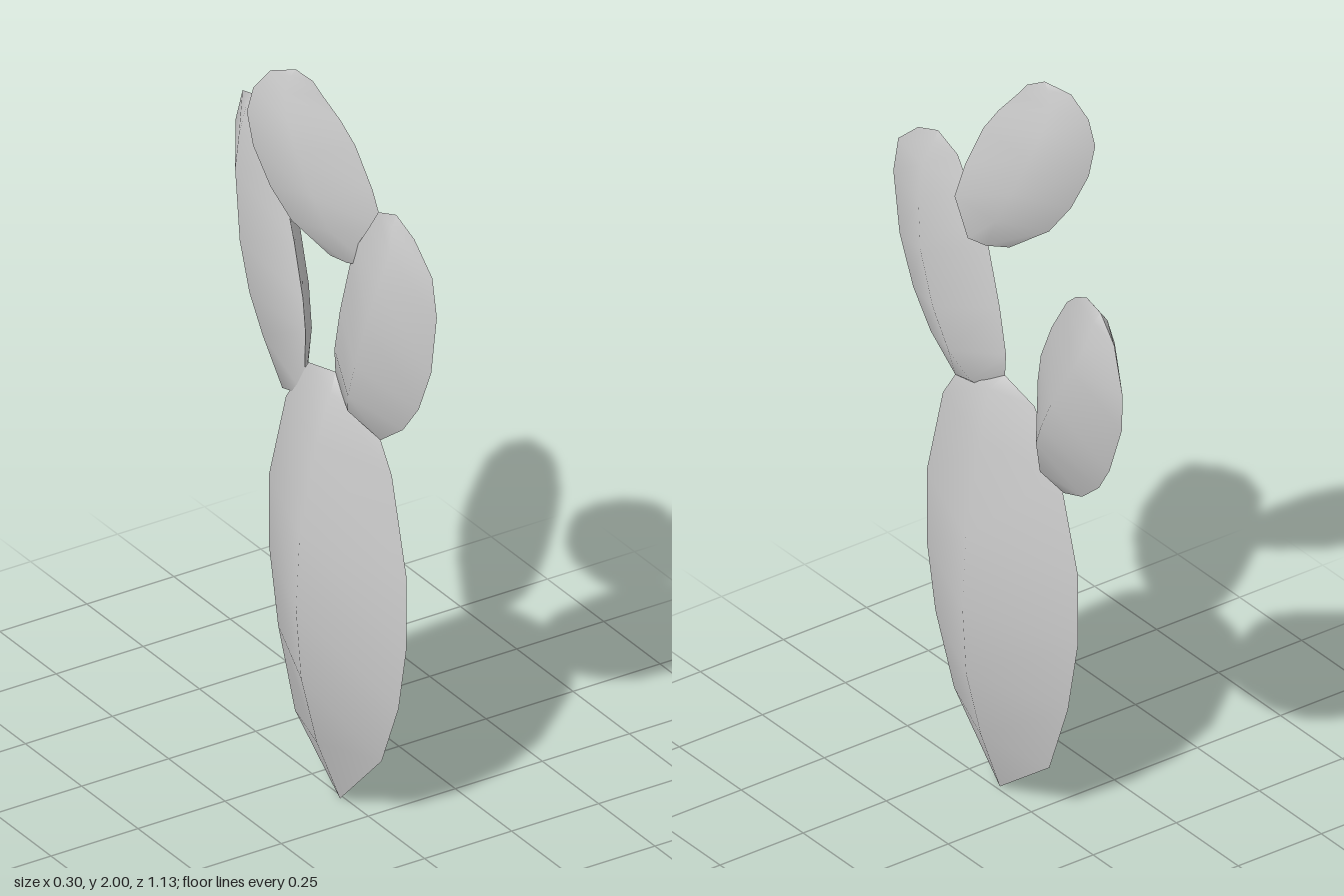
import * as THREE from 'three';

// One flat cactus pad: rows from base to tip, each [z, y of one rim, z, y of the other rim, half thickness].
// The pad stands in the plane x = x0 + slope * z, with a smooth ridge down each face and a sharp rim.
function makePad(name, x0, slope, rows, material) {
  const pad = new THREE.Group();
  pad.name = name;
  const normal = new THREE.Vector3(1, 0, -slope).normalize();
  const onPlane = (z, y) => new THREE.Vector3(x0 + slope * z, y, z);

  for (const side of [1, -1]) {
    const points = [], index = [];
    rows.forEach(([zA, yA, zB, yB, t], i) => {
      const ridge = onPlane((zA + zB) / 2, (yA + yB) / 2).addScaledVector(normal, side * t);
      points.push(onPlane(zA, yA), ridge, onPlane(zB, yB));
      if (i === 0) return;
      for (let c = 0; c < 2; c++) {
        const b = i * 3 + c, a = b - 3;
        const quad = [[a, a + 1, b + 1], [a, b + 1, b]];
        for (const [p, q, r] of quad) index.push(...(side > 0 ? [p, q, r] : [p, r, q]));
      }
    });
    const geometry = new THREE.BufferGeometry().setFromPoints(points);
    geometry.setIndex(index);
    geometry.computeVertexNormals();
    // Collapsed end rows take the face direction where no normal could be found
    const n = geometry.attributes.normal;
    for (let i = 0; i < n.count; i++) {
      if (Math.hypot(n.getX(i), n.getY(i), n.getZ(i)) < 0.5) {
        n.setXYZ(i, normal.x * side, 0, normal.z * side);
      }
    }
    const mesh = new THREE.Mesh(geometry, material);
    mesh.name = name + (side > 0 ? 'LeftFace' : 'RightFace');
    pad.add(mesh);
  }
  return pad;
}

export function createModel() {
  const cactus = new THREE.Group();
  cactus.name = 'cactus';
  const material = new THREE.MeshStandardMaterial({ color: 0xcccccc, side: THREE.DoubleSide });

  // Large trunk pad, pointed at the ground
  cactus.add(makePad('trunkPad', -0.01, 0, [
    [0.14, 0, 0.14, 0, 0],
    [0.325, 0.19, -0.06, 0.15, 0.062],
    [0.4, 0.37, -0.135, 0.35, 0.107],
    [0.435, 0.55, -0.175, 0.55, 0.12],
    [0.435, 0.75, -0.175, 0.75, 0.11],
    [0.37, 1.0, -0.1, 1.0, 0.065],
    [0.29, 1.12, 0, 1.14, 0.03],
    [0.12, 1.17, 0.12, 1.17, 0],
  ], material));

  // Front pad
  cactus.add(makePad('frontPad', -0.01, 0, [
    [0.22, 1.09, 0.22, 1.09, 0],
    [0.32, 1.075, 0.12, 1.16, 0.03],
    [0.42, 1.15, 0.115, 1.23, 0.06],
    [0.49, 1.24, 0.14, 1.35, 0.072],
    [0.545, 1.365, 0.185, 1.5, 0.072],
    [0.57, 1.53, 0.22, 1.57, 0.055],
    [0.55, 1.63, 0.27, 1.64, 0.033],
    [0.47, 1.7, 0.31, 1.7, 0.012],
    [0.39, 1.73, 0.39, 1.73, 0],
  ], material));

  // Back pad, turned outwards
  cactus.add(makePad('backPad', -0.015, -0.285, [
    [-0.1, 1.02, -0.1, 1.02, 0],
    [-0.02, 1.04, -0.18, 1.0, 0.03],
    [-0.01, 1.22, -0.3, 1.06, 0.062],
    [-0.03, 1.3, -0.41, 1.15, 0.075],
    [-0.1, 1.42, -0.48, 1.24, 0.077],
    [-0.2, 1.55, -0.56, 1.4, 0.06],
    [-0.26, 1.6, -0.565, 1.5, 0.04],
    [-0.33, 1.64, -0.51, 1.61, 0.018],
    [-0.42, 1.65, -0.42, 1.65, 0],
  ], material));

  // Small top pad, growing from the front pad
  cactus.add(makePad('topPad', -0.12, 0.578, [
    [0.19, 1.51, 0.19, 1.51, 0],
    [0.235, 1.51, 0.14, 1.51, 0.015],
    [0.265, 1.62, 0.05, 1.58, 0.04],
    [0.24, 1.72, 0, 1.66, 0.048],
    [0.2, 1.83, -0.04, 1.76, 0.043],
    [0.165, 1.89, -0.055, 1.85, 0.032],
    [0.12, 1.95, -0.04, 1.92, 0.018],
    [0.1, 1.98, 0, 1.98, 0.007],
    [0.06, 2.0, 0.06, 2.0, 0],
  ], material));

  return cactus;
}
